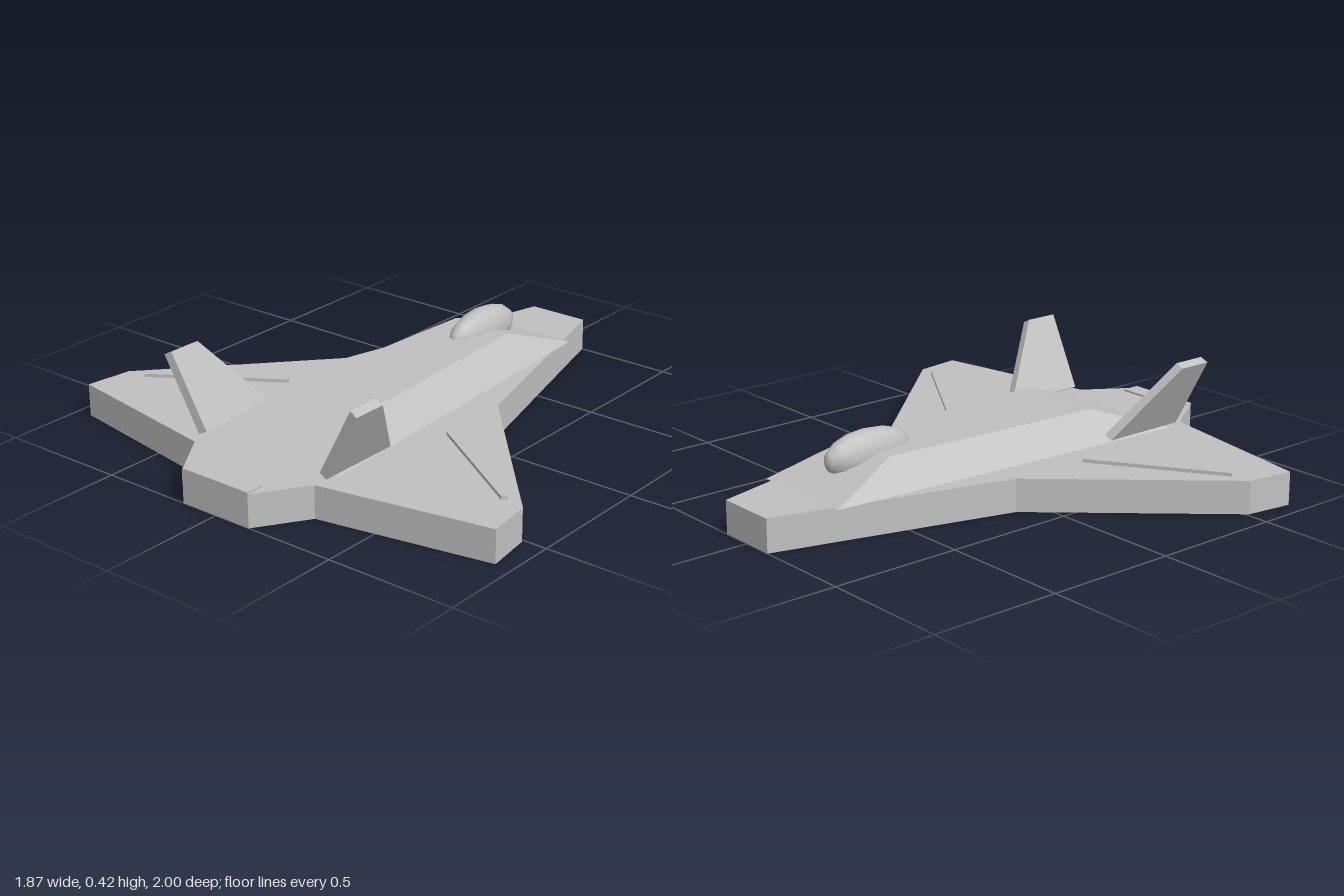
import * as THREE from 'three';

// Closed solid between two matching rings of [x, y, z] corners (convex quads).
// Rings run counter-clockwise seen from the side of the second ring.
function loftRings(bottom, top) {
  const pos = [];
  const quad = (a, b, c, d) => pos.push(...a, ...b, ...c, ...a, ...c, ...d);
  for (let i = 0; i < 4; i++) {
    const j = (i + 1) % 4;
    quad(bottom[i], bottom[j], top[j], top[i]);
  }
  quad(...top);
  quad(...[...bottom].reverse());
  const geo = new THREE.BufferGeometry();
  geo.setAttribute('position', new THREE.Float32BufferAttribute(pos, 3));
  geo.computeVertexNormals();
  return geo;
}

export function createModel() {
  const group = new THREE.Group();
  const grey = new THREE.MeshStandardMaterial({ color: 0xc0c0c0 });
  grey.name = 'hull grey';
  const add = (name, geo) => {
    const mesh = new THREE.Mesh(geo, grey);
    mesh.name = name;
    group.add(mesh);
    return mesh;
  };

  // Flat slab that forms the wings, nose and tail (nose points to -z)
  const half = [[0.12, -1], [0.36, -0.1], [0.91, 0.51], [0.935, 0.69], [0.275, 0.81], [0.15, 1]];
  const outline = [...half, ...half.map(([x, z]) => [-x, z]).reverse()];
  const shape = new THREE.Shape(outline.map(([x, z]) => new THREE.Vector2(x, -z)));
  const slab = new THREE.ExtrudeGeometry(shape, { depth: 0.125, bevelEnabled: false });
  slab.rotateX(-Math.PI / 2);
  add('wingSlab', slab);

  // Raised fuselage with sloped sides and ends
  const ring = (y, frontX, frontZ, backX, backZ) => [
    [-frontX, y, frontZ], [-backX, y, backZ], [backX, y, backZ], [frontX, y, frontZ],
  ];
  add('fuselage', loftRings(ring(0.125, 0.21, -0.77, 0.3, 0.73), ring(0.23, 0.125, -0.48, 0.18, 0.43)));

  // Canopy bubble, poles along z
  const bubble = new THREE.SphereGeometry(1, 12, 8);
  bubble.rotateX(Math.PI / 2);
  bubble.scale(0.067, 0.09, 0.186);
  add('canopy', bubble).position.set(0, 0.215, -0.48);

  // Exhaust bar across the tail
  add('exhaustBar', new THREE.BoxGeometry(0.3, 0.042, 0.071)).position.set(0, 0.111, 0.9655);

  for (const side of [1, -1]) {
    const label = side > 0 ? 'left' : 'right';

    // Swept tail fin leaning outward
    let root = [[0.26, 0.15, 0.43], [0.26, 0.15, 0.765], [0.292, 0.135, 0.77], [0.292, 0.135, 0.43]];
    let tip = [[0.405, 0.417, 0.645], [0.405, 0.417, 0.775], [0.435, 0.402, 0.78], [0.435, 0.402, 0.645]];
    if (side < 0) {
      const mirror = (r) => r.map(([x, y, z]) => [-x, y, z]).reverse();
      root = mirror(root);
      tip = mirror(tip);
    }
    add(label + 'TailFin', loftRings(root, tip));

    // Thin diagonal strip on the wing
    const strip = add(label + 'WingStrip', new THREE.BoxGeometry(0.54, 0.016, 0.022));
    strip.position.set(side * 0.603, 0.13, 0.355);
    strip.rotation.y = -side * Math.atan2(0.295, 0.455);
  }
  return group;
}
